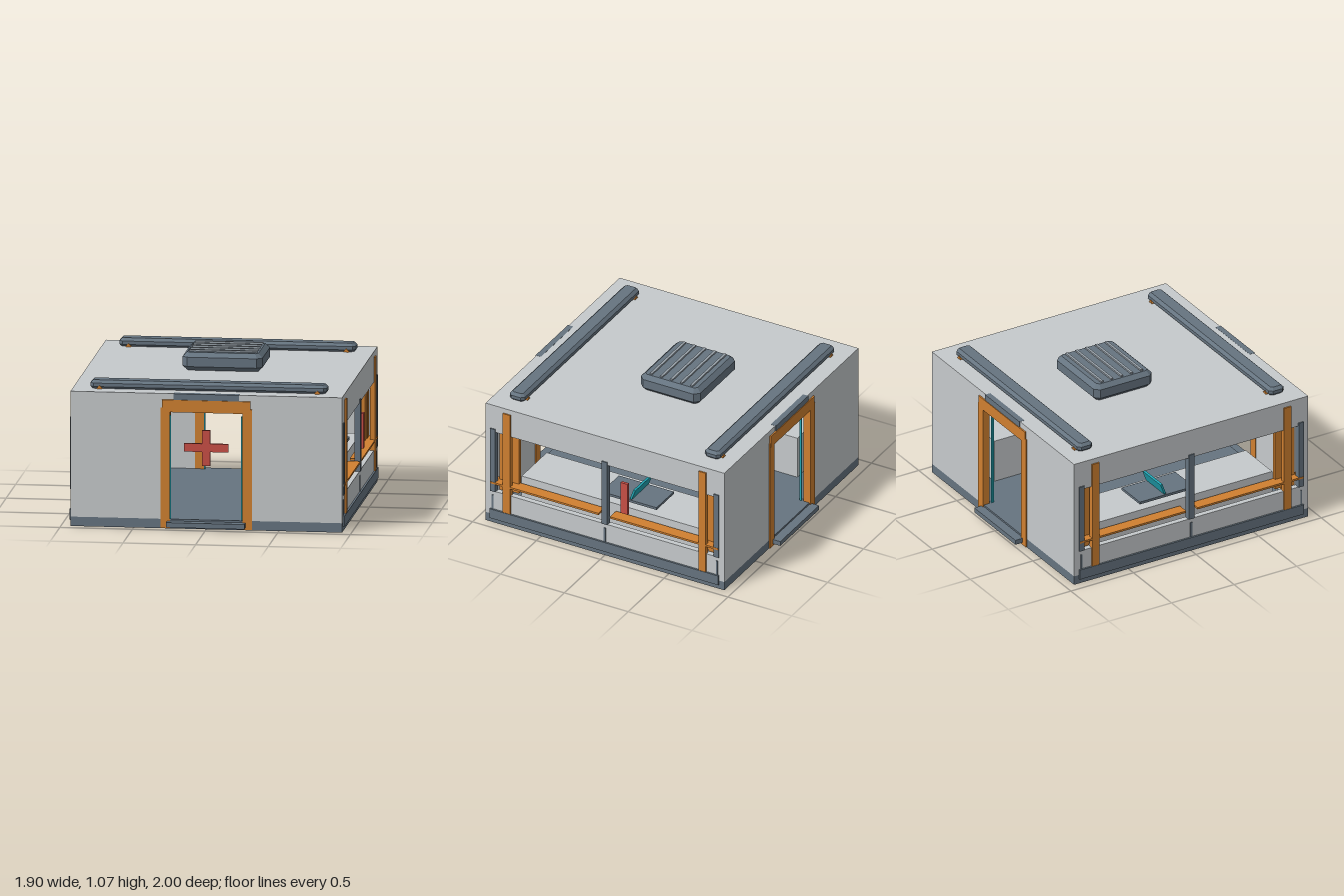
import * as THREE from 'three';

const mat = (name, color) => {
  const m = new THREE.MeshStandardMaterial({ color });
  m.name = name;
  return m;
};

export function createModel() {
  const root = new THREE.Group();
  root.name = 'medicalModule';
  const panel = mat('pale grey panel', 0xc6cacc);
  const slate = mat('slate metal', 0x667480);
  const orange = mat('orange trim', 0xd08030);
  const red = mat('red marking', 0xc94f46);
  const cyan = mat('cyan light', 0x22a7b6);
  const slat = mat('light slat metal', 0x98a1a9);

  // Box from its limits on each axis
  function box(name, m, [x0, x1], [y0, y1], [z0, z1], parent = root) {
    const mesh = new THREE.Mesh(new THREE.BoxGeometry(x1 - x0, y1 - y0, z1 - z0), m);
    mesh.position.set((x0 + x1) / 2, (y0 + y1) / 2, (z0 + z1) / 2);
    mesh.name = name;
    parent.add(mesh);
    return mesh;
  }

  // Box with chamfered upper and lower rims and clipped corners
  function chamferBox(name, m, w, h, d, c, x, y, z) {
    const a = w / 2 - c, b = d / 2 - c, k = c * 0.6;
    const s = new THREE.Shape([
      [-a + k, -b], [a - k, -b], [a, -b + k], [a, b - k],
      [a - k, b], [-a + k, b], [-a, b - k], [-a, -b + k],
    ].map(p => new THREE.Vector2(...p)));
    const g = new THREE.ExtrudeGeometry(s, {
      depth: h - 2 * c, bevelEnabled: true, bevelSegments: 1, bevelSize: c, bevelThickness: c,
    });
    g.rotateX(-Math.PI / 2).translate(x, y + c, z);
    const mesh = new THREE.Mesh(g, m);
    mesh.name = name;
    root.add(mesh);
  }

  // Base and roof slabs
  box('base', slate, [-0.935, 0.935], [0, 0.065], [-0.935, 0.935]);
  box('roof', panel, [-0.935, 0.935], [0.895, 0.937], [-0.935, 0.935]);

  // Front and back: wall, door frame, step
  for (const s of [1, -1]) {
    const end = new THREE.Group();
    end.name = s > 0 ? 'frontEnd' : 'backEnd';
    root.add(end);
    const zz = (a, b) => (s > 0 ? [a, b] : [-b, -a]);
    box('wallOverDoor', panel, [-0.26, 0.26], [0.82, 0.895], zz(0.895, 0.935), end);
    box('doorHeader', orange, [-0.305, 0.305], [0.81, 0.895], zz(0.88, 0.946), end);
    box('headerPlate', slate, [-0.225, 0.225], [0.885, 0.938], zz(0.9, 0.941), end);
    box('step', slate, [-0.27, 0.27], [0.018, 0.052], zz(0.88, 1.0), end);
    for (const t of [1, -1]) {
      const xx = (a, b) => (t > 0 ? [a, b] : [-b, -a]);
      box('endWall', panel, xx(0.26, 0.935), [0.065, 0.895], zz(0.895, 0.935), end);
      box('doorJamb', orange, xx(0.25, 0.315), [0.003, 0.84], zz(0.89, 0.944), end);
      const zc = s > 0 ? 0.95 : -0.87;
      box('doorLight', cyan, xx(0.241, 0.251), [0.07, 0.79], [zc - 0.008, zc + 0.008], end);
    }
  }

  // Left and right sides: window wall, posts, rails, interior
  for (const s of [1, -1]) {
    const side = new THREE.Group();
    side.name = s > 0 ? 'leftSide' : 'rightSide';
    root.add(side);
    const xx = (a, b) => (s > 0 ? [a, b] : [-b, -a]);
    box('sillWall', panel, xx(0.895, 0.935), [0.065, 0.25], [-0.895, 0.895], side);
    box('lintelWall', panel, xx(0.895, 0.935), [0.725, 0.895], [-0.895, 0.895], side);
    box('baseRail', slate, xx(0.9, 0.948), [0.035, 0.108], [-0.895, 0.895], side);
    box('windowPost', slate, xx(0.9, 0.943), [0.25, 0.75], [-0.022, 0.022], side);
    box('sillRib', slate, xx(0.92, 0.939), [0.1, 0.22], [-0.007, 0.007], side);
    for (const t of [1, -1]) {
      const zz = (a, b) => (t > 0 ? [a, b] : [-b, -a]);
      box('wallEdge', panel, xx(0.895, 0.935), [0.25, 0.725], zz(0.86, 0.895), side);
      box('windowSidePost', slate, xx(0.9, 0.943), [0.25, 0.75], zz(0.855, 0.895), side);
      box('sillRib', slate, xx(0.92, 0.939), [0.1, 0.22], zz(0.872, 0.884), side);
      box('outerPost', orange, xx(0.91, 0.945), [0.1, 0.9], zz(0.737, 0.795), side);
      box('cornerPost', orange, xx(0.81, 0.885), [0.001, 0.936], zz(0.785, 0.855), side);
      box('innerJamb', orange, xx(0.85, 0.88), [0.25, 0.725], zz(0.705, 0.855), side);
      box('windowRail', orange, xx(0.86, 0.945), [0.312, 0.326], zz(0.045, 0.893), side);
      // Small clip under each roof rail
      const clip = box('roofClip', orange, xx(0.736, 0.764), [0.927, 0.955], zz(0.7, 0.83), side);
      clip.rotation.z = Math.PI / 4;
    }

    // Bench, worktop and tilted display
    box('bench', panel, xx(0.5, 0.85), [0.065, 0.377], [-0.7, 0.7], side);
    box('worktop', slate, xx(0.58, 0.82), [0.402, 0.42], [-0.34, 0.09], side);
    const screen = box('display', cyan, xx(0.58, 0.82), [0.425, 0.51], [-0.16, -0.145], side);
    screen.rotation.x = -0.35;
  }

  // Roof rails and ventilator
  for (const z of [-0.765, 0.765]) {
    chamferBox('roofRail', slate, 1.63, 0.064, 0.12, 0.02, 0, 0.932, z);
  }
  chamferBox('ventilator', slate, 0.55, 0.125, 0.465, 0.03, 0, 0.937, -0.125);
  for (let i = 0; i < 5; i++) {
    const z = -0.285 + i * 0.079;
    box('ventSlat', slat, [-0.235, 0.235], [1.055, 1.073], [z - 0.009, z + 0.009]);
  }

  // Red cross in the front doorway, red bar in the left window
  box('crossUpright', red, [-0.028, 0.028], [0.442, 0.688], [0.922, 0.946]);
  box('crossArm', red, [-0.153, 0.153], [0.538, 0.595], [0.922, 0.942]);
  box('sideBar', red, [0.925, 0.945], [0.383, 0.626], [-0.184, -0.128]);

  return root;
}
